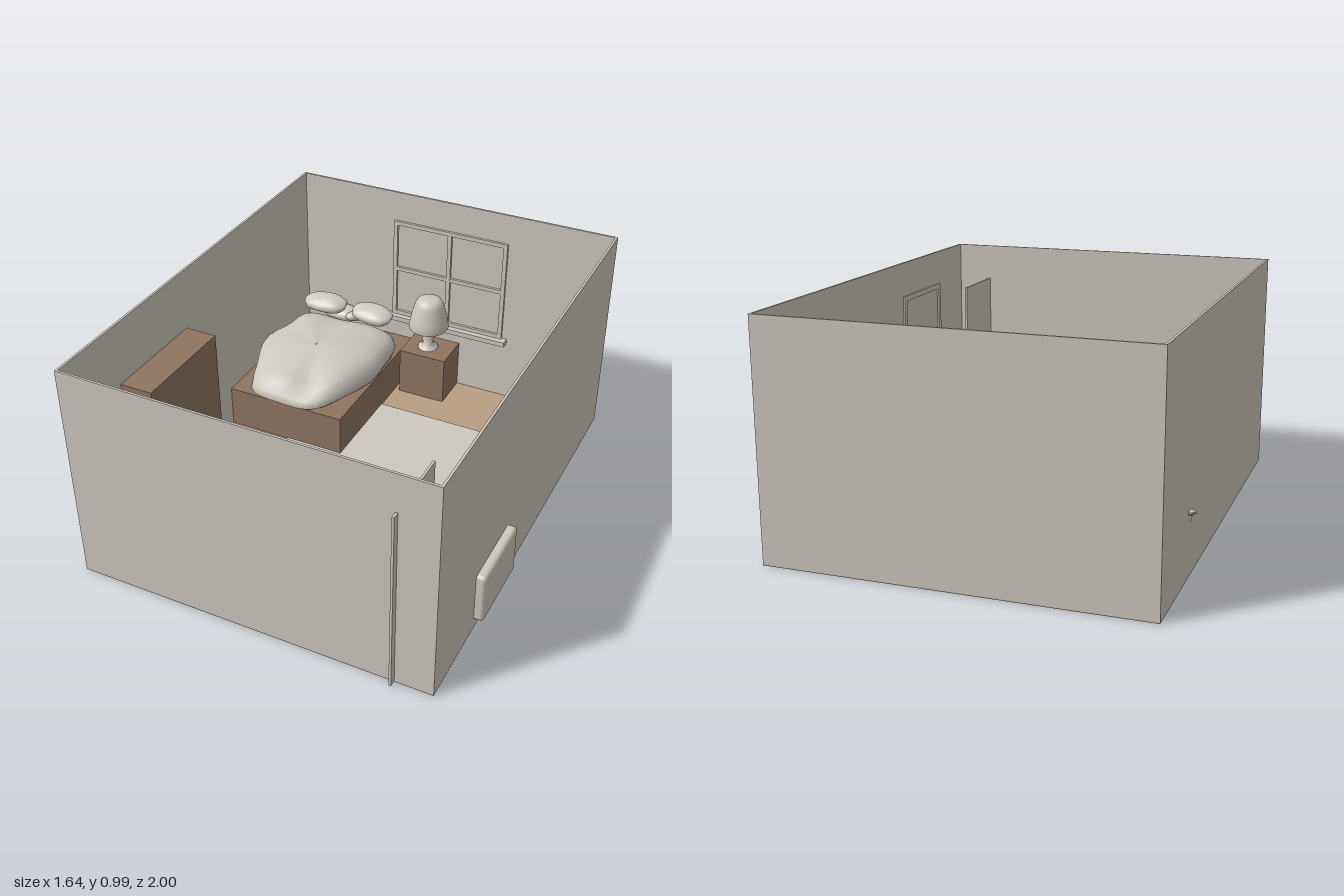
import * as THREE from 'three';
import { RoundedBoxGeometry } from 'three/addons/geometries/RoundedBoxGeometry.js';

export function createModel() {
  const model = new THREE.Group();
  model.name = 'furnishedRoom';

  const mat = (name, color, side = THREE.FrontSide) => {
    const m = new THREE.MeshStandardMaterial({ color, side });
    m.name = name;
    return m;
  };
  const plaster = mat('warmGrey', 0xcdc8bf, THREE.DoubleSide);
  const floorWood = mat('floorWood', 0xb89e82);
  const darkWood = mat('darkWood', 0x907560);

  const group = (name) => {
    const g = new THREE.Group();
    g.name = name;
    model.add(g);
    return g;
  };
  const add = (parent, name, geo, material) => {
    const m = new THREE.Mesh(geo, material);
    m.name = name;
    parent.add(m);
    return m;
  };
  // Boxes are given by their limits on each axis
  const box = (parent, name, material, x0, x1, y0, y1, z0, z1, radius = 0) => {
    const s = [x1 - x0, y1 - y0, z1 - z0];
    const geo = radius ? new RoundedBoxGeometry(...s, 3, radius) : new THREE.BoxGeometry(...s);
    const m = add(parent, name, geo, material);
    m.position.set((x0 + x1) / 2, (y0 + y1) / 2, (z0 + z1) / 2);
    return m;
  };

  // Room shell
  const room = group('room');
  box(room, 'floor', floorWood, -0.79, 0.78, 0, 0.004, -1, 0.97);
  box(room, 'frontWall', plaster, -0.79, 0.78, 0.004, 0.985, 0.96, 0.97);
  box(room, 'backWall', plaster, -0.79, 0.78, 0.004, 0.985, -1, -0.99);
  box(room, 'rightWall', plaster, -0.79, -0.78, 0.004, 0.985, -0.99, 0.96);
  box(room, 'leftWall', plaster, 0.77, 0.78, 0.004, 0.985, -0.99, 0.96);
  box(room, 'rug', plaster, -0.48, 0.757, 0.004, 0.009, -0.645, 0.61);

  // Window on the back wall
  const win = group('window');
  for (const x of [-0.29, -0.01, 0.27])
    box(win, 'windowUpright', plaster, x - 0.01, x + 0.01, 0.33, 0.84, -0.99, -0.977);
  for (const y of [0.34, 0.585, 0.83])
    box(win, 'windowRail', plaster, -0.30, 0.28, y - 0.01, y + 0.01, -0.99, -0.978);
  box(win, 'windowSill', plaster, -0.315, 0.305, 0.305, 0.33, -0.99, -0.95);

  // Doorway on the left wall, with the door standing open
  const door = group('door');
  for (const z of [0.29, 0.67])
    box(door, 'doorJamb', plaster, 0.762, 0.77, 0.004, 0.83, z - 0.012, z + 0.012);
  box(door, 'doorHeader', plaster, 0.762, 0.77, 0.806, 0.83, 0.302, 0.658);
  box(door, 'doorPanel', plaster, 0.609, 0.619, 0.004, 0.82, 0.65, 1);

  // Wooden furniture
  const furniture = group('furniture');
  box(furniture, 'dresser', darkWood, -0.78, -0.635, 0.004, 0.71, 0.12, 0.61);
  box(furniture, 'nightstand', darkWood, -0.175, 0.06, 0.004, 0.24, -0.99, -0.80);
  box(furniture, 'bedFrame', darkWood, -0.779, -0.20, 0.004, 0.20, -0.99, -0.195);

  // Duvet: one outline repeated as rings that rise and shrink
  const bed = group('bedding');
  const outline = new THREE.CatmullRomCurve3([
    [-0.80, -0.57], [-0.755, -0.70], [-0.73, -0.85], [-0.48, -0.87], [-0.23, -0.85], [-0.185, -0.64],
    [-0.20, -0.48], [-0.25, -0.31], [-0.32, -0.20], [-0.48, -0.163], [-0.66, -0.195], [-0.735, -0.36],
  ].map(([x, z]) => new THREE.Vector3(x, 0, z)), true).getSpacedPoints(48).slice(0, 48);
  const rings = [[0.86, 0.20], [0.96, 0.215], [1, 0.25], [0.97, 0.285], [0.87, 0.315], [0.7, 0.332], [0.4, 0.343], [0.01, 0.347]];
  const pos = [], idx = [], n = outline.length, cx = -0.49, cz = -0.52;
  rings.forEach(([s, y], r) => {
    outline.forEach((p, i) => {
      const x = cx + (p.x - cx) * s, z = cz + (p.z - cz) * s;
      const ripple = 0.007 * Math.sin(17 * x + 9 * z) * Math.cos(14 * z - 6 * x);
      const dip = r > 2 ? 0.035 * Math.exp(-((x + 0.41) ** 2 + (z + 0.27) ** 2) / 0.004) : 0;
      const drop = r > 1 ? Math.max(0, z + 0.45) * 0.1 : 0;
      pos.push(x, y + ripple - dip - drop, z);
      if (r) {
        const j = (i + 1) % n, a = (r - 1) * n + i, b = (r - 1) * n + j;
        idx.push(a, a + n, b, b, a + n, b + n);
      }
    });
  });
  const duvetGeo = new THREE.BufferGeometry();
  duvetGeo.setAttribute('position', new THREE.Float32BufferAttribute(pos, 3));
  // The outline runs clockwise from above, so the triangles are turned outward
  for (let i = 0; i < idx.length; i += 3) [idx[i + 1], idx[i + 2]] = [idx[i + 2], idx[i + 1]];
  duvetGeo.setIndex(idx);
  duvetGeo.computeVertexNormals();
  // Make the upper surface face up whichever way the loop was wound
  if (duvetGeo.attributes.normal.getY(5 * n) < 0) {
    for (let i = 0; i < idx.length; i += 3) [idx[i + 1], idx[i + 2]] = [idx[i + 2], idx[i + 1]];
    duvetGeo.setIndex(idx);
    duvetGeo.computeVertexNormals();
  }
  add(bed, 'duvet', duvetGeo, plaster);
  // Pointed fold at the side of the duvet
  const fold = add(bed, 'duvetFold', new THREE.ConeGeometry(0.025, 0.06, 8), plaster);
  fold.scale.z = 2.4;
  fold.rotation.z = Math.PI / 2;
  fold.position.set(-0.79, 0.262, -0.575);

  // Pillows: spheres squared off in plan with a soft ripple
  const pillow = (x, y, z, w, h, d, turn, tilt) => {
    const geo = new THREE.SphereGeometry(1, 28, 18), p = geo.attributes.position;
    const sq = (v) => Math.sign(v) * Math.abs(v) ** 0.8;
    for (let i = 0; i < p.count; i++) {
      const a = p.getX(i), b = p.getY(i), c = p.getZ(i);
      const k = 1 + 0.04 * Math.sin(6 * a + 3 * c) * Math.cos(5 * c);
      p.setXYZ(i, sq(a) * w * k, b * h * k, sq(c) * d * k);
    }
    geo.computeVertexNormals();
    const m = add(bed, 'pillow', geo, plaster);
    m.position.set(x, y, z);
    m.rotation.set(tilt, turn, 0);
  };
  pillow(-0.63, 0.35, -0.89, 0.112, 0.035, 0.062, 0.05, 0.25);
  pillow(-0.37, 0.35, -0.89, 0.108, 0.035, 0.064, -0.1, 0.25);
  pillow(-0.56, 0.29, -0.935, 0.10, 0.03, 0.05, 0, 0.2);
  pillow(-0.46, 0.30, -0.925, 0.07, 0.025, 0.03, 0.7, 0);

  // Table lamp
  const lamp = group('lamp');
  const lathe = (name, pts) => {
    const m = add(lamp, name, new THREE.LatheGeometry(pts.map(([x, y]) => new THREE.Vector2(x, y)), 32), plaster);
    m.position.set(-0.065, 0.24, -0.89);
  };
  lathe('lampBase', [[0, 0], [0.05, 0], [0.05, 0.01], [0.022, 0.025], [0.03, 0.06], [0.012, 0.1], [0.01, 0.17], [0, 0.17]]);
  lathe('lampShade', [[0.092, 0.115], [0.098, 0.125], [0.093, 0.155], [0.083, 0.20], [0.07, 0.245], [0.058, 0.268], [0.035, 0.276], [0, 0.278]]);

  // Sofa facing the back wall
  const sofa = group('sofa');
  box(sofa, 'sofaBase', plaster, 0.02, 0.75, 0.045, 0.14, 0.24, 0.575, 0.012);
  box(sofa, 'sofaBack', plaster, -0.005, 0.777, 0.05, 0.36, 0.455, 0.58, 0.014);
  [-0.05, 0.733].forEach((x) => box(sofa, 'sofaArm', plaster, x, x + 0.087, 0.045, 0.275, 0.232, 0.583, 0.018));
  [0.037, 0.385].forEach((x) => {
    box(sofa, 'seatCushion', plaster, x, x + 0.346, 0.135, 0.205, 0.233, 0.455, 0.018);
    box(sofa, 'backCushion', plaster, x, x + 0.346, 0.195, 0.335, 0.412, 0.47, 0.02);
  });
  for (const x of [0, 0.76]) for (const z of [0.27, 0.54]) {
    const foot = add(sofa, 'sofaFoot', new THREE.CylinderGeometry(0.014, 0.011, 0.05, 16), plaster);
    foot.position.set(x, 0.029, z);
  }
  return model;
}
